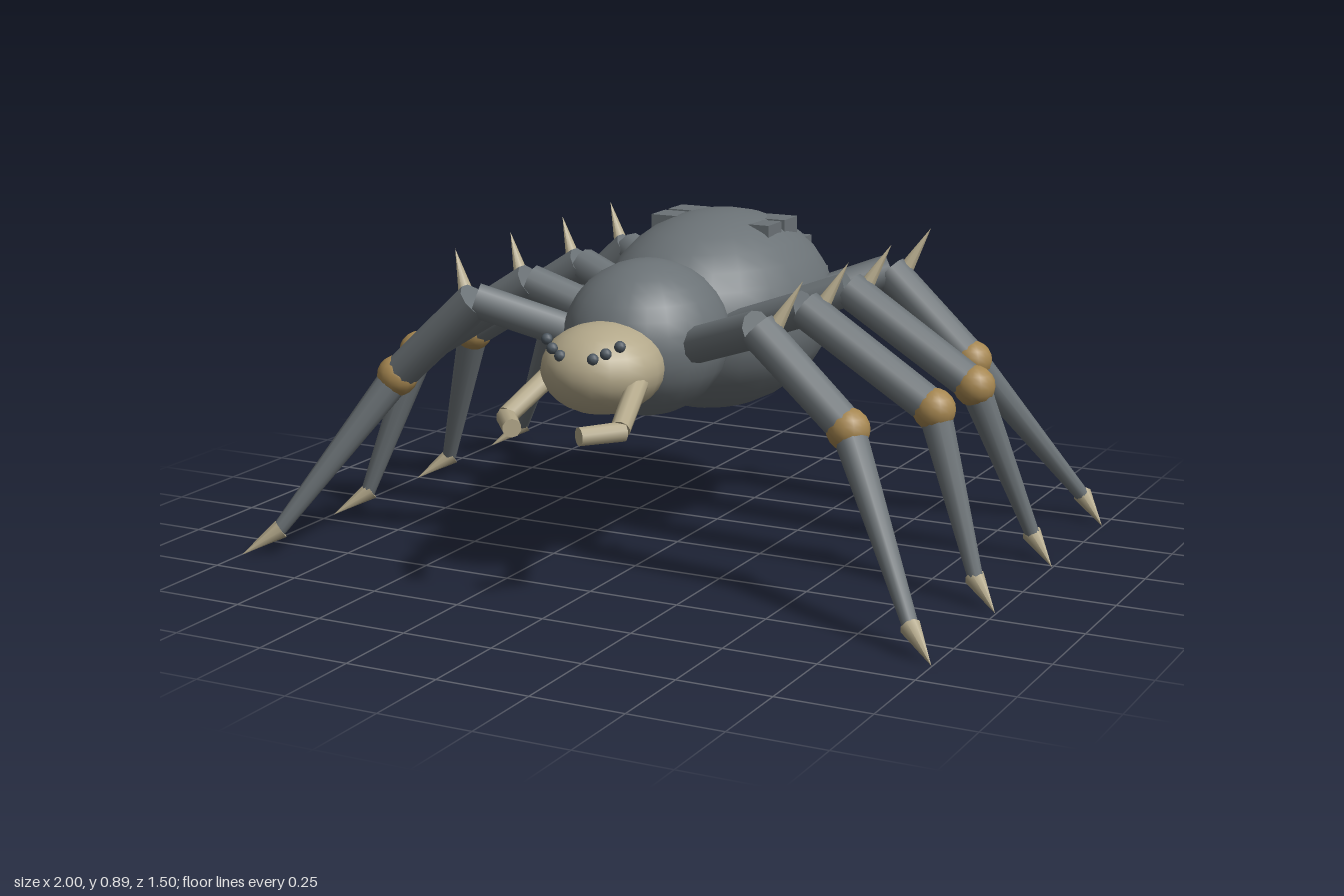
import * as THREE from 'three';

const mat = (name, color, opts = {}) => {
  const m = new THREE.MeshStandardMaterial({ color });
  m.name = name;
  return m;
};

export function createModel() {
  const shell = mat('grey shell', 0x6b7276);
  const bone = mat('bone', 0xb3a88a);
  const ochre = mat('ochre joint', 0xa58650);
  const eyeGrey = mat('eye grey', 0x4c565f);

  const model = new THREE.Group();
  model.name = 'spider';

  const add = (parent, name, geometry, material, pos) => {
    const mesh = new THREE.Mesh(geometry, material);
    mesh.name = name;
    mesh.position.set(...pos);
    parent.add(mesh);
    return mesh;
  };

  const ellipsoid = (parent, name, material, pos, radii, w = 24, h = 16) => {
    const mesh = add(parent, name, new THREE.SphereGeometry(1, w, h), material, pos);
    mesh.scale.set(...radii);
    return mesh;
  };

  // Tapered limb between two points; an end radius of 0 gives a spike
  const limb = (parent, name, material, from, to, r0, r1, sides = 10) => {
    const a = new THREE.Vector3(...from), b = new THREE.Vector3(...to);
    const dir = b.clone().sub(a);
    const geometry = r1 > 0
      ? new THREE.CylinderGeometry(r1, r0, dir.length(), sides)
      : new THREE.ConeGeometry(r0, dir.length(), sides);
    const mesh = add(parent, name, geometry, material, a.add(b).multiplyScalar(0.5).toArray());
    mesh.quaternion.setFromUnitVectors(new THREE.Vector3(0, 1, 0), dir.normalize());
    return mesh;
  };

  // Body
  ellipsoid(model, 'abdomen', shell, [0, 0.615, -0.253], [0.305, 0.275, 0.412]);
  ellipsoid(model, 'thorax', shell, [0, 0.613, 0.18], [0.217, 0.208, 0.238]);
  ellipsoid(model, 'head', bone, [0, 0.578, 0.425], [0.16, 0.118, 0.163], 20, 14);

  // Legs from front to back: hip root, knee z, joint x, foot z
  const legs = [
    { name: 'frontLeg', hip: [0.12, 0.6, 0.235], z: 0.37, jointX: 0.66, footZ: 0.58 },
    { name: 'frontMiddleLeg', hip: [0.12, 0.6, 0.03], z: 0.08, jointX: 0.775, footZ: 0.14 },
    { name: 'backMiddleLeg', hip: [0.2, 0.63, -0.175], z: -0.213, jointX: 0.775, footZ: -0.3 },
    { name: 'backLeg', hip: [0.2, 0.63, -0.375], z: -0.503, jointX: 0.66, footZ: -0.735 },
  ];

  for (const [side, s] of [['left', 1], ['right', -1]]) {
    const m = ([x, y, z]) => [s * x, y, z];

    for (const { name, hip, z, jointX, footZ } of legs) {
      const leg = new THREE.Group();
      leg.name = `${side} ${name}`;
      model.add(leg);
      const knee = [0.41, 0.708, z];
      const joint = [jointX, 0.478, z];
      const foot = [0.922, 0.06, footZ];
      limb(leg, 'hip', shell, m(hip), m(knee), 0.048, 0.048);
      limb(leg, 'femur', shell, m(knee), m(joint), 0.051, 0.048);
      add(leg, 'joint', new THREE.SphereGeometry(0.056, 14, 10), ochre, m(joint));
      limb(leg, 'tibia', shell, m(joint), m(foot), 0.044, 0.02);
      limb(leg, 'claw', bone, m([0.915, 0.066, footZ - 0.006]), m([0.998, 0, footZ + 0.062]), 0.027, 0, 8);
      limb(leg, 'spike', bone, m([0.448, 0.71, z - 0.02]), m([0.507, 0.828, z - 0.06]), 0.023, 0, 8);
    }

    // Mouth feelers
    const feeler = new THREE.Group();
    feeler.name = `${side} feeler`;
    model.add(feeler);
    limb(feeler, 'upper feeler', bone, m([0.125, 0.56, 0.47]), m([0.162, 0.48, 0.635]), 0.028, 0.026);
    limb(feeler, 'lower feeler', bone, m([0.168, 0.475, 0.628]), m([0.095, 0.475, 0.725]), 0.026, 0.024);

    // Eyes
    for (const p of [[0.105, 0.663, 0.527], [0.077, 0.646, 0.55], [0.047, 0.632, 0.563]])
      add(model, `${side} eye`, new THREE.SphereGeometry(0.015, 10, 8), eyeGrey, m(p));

    // Raised plates and small bumps on the abdomen
    const lift = s < 0 ? 0.006 : 0;
    for (const z of [-0.235, -0.34])
      add(model, `${side} back plate`, new THREE.BoxGeometry(0.09, 0.05, 0.084), shell, m([0.134, 0.84 + lift, z]));
    add(model, `${side} rear plate`, new THREE.BoxGeometry(0.05, 0.035, 0.045), shell, m([0.153, 0.779, -0.462]));
    add(model, `${side} rear bump`, new THREE.BoxGeometry(0.04, 0.035, 0.025), shell, m([0.165, 0.675, -0.575]));
  }

  return model;
}
